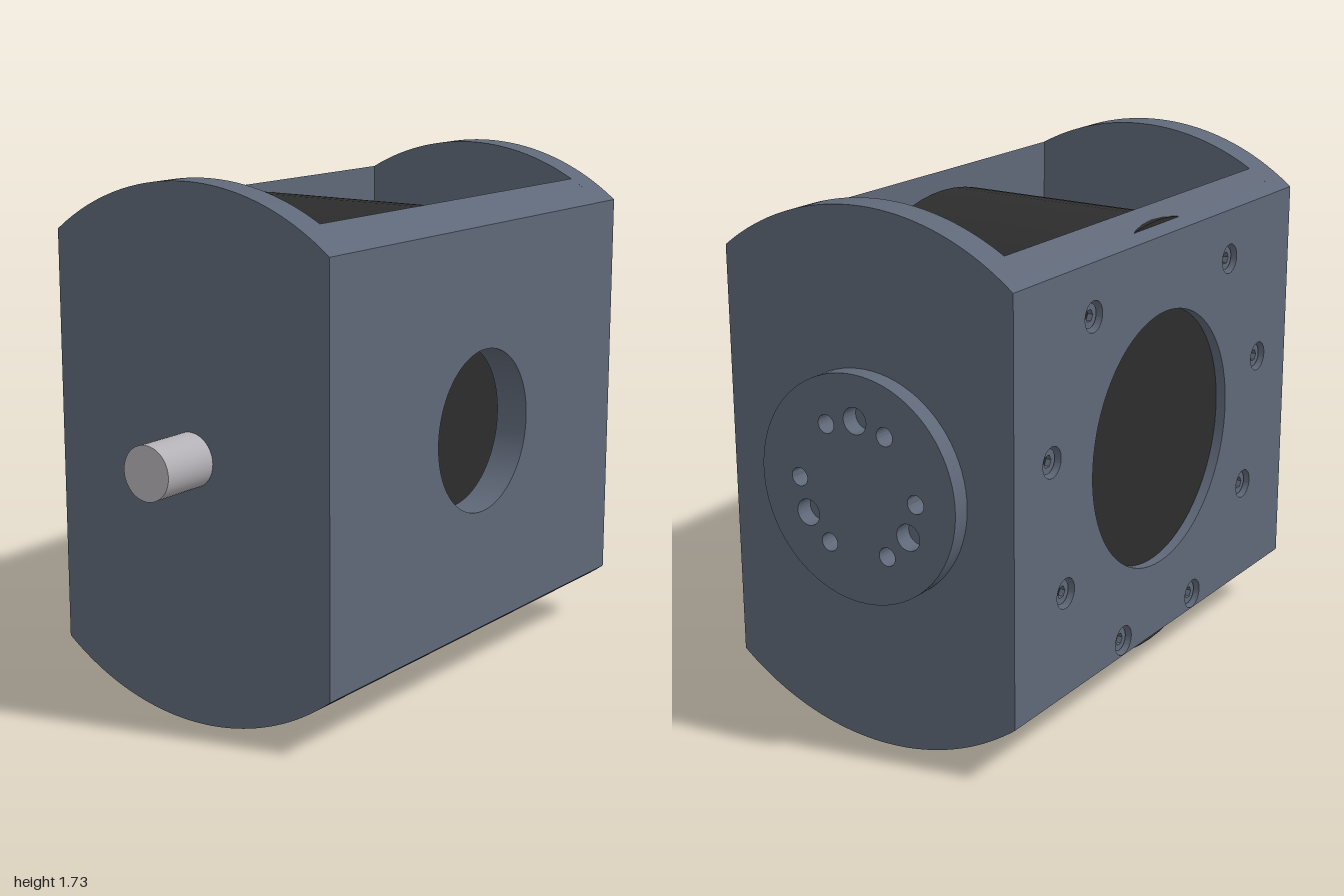
import * as THREE from 'three';
import { toCreasedNormals } from 'three/addons/utils/BufferGeometryUtils.js';

const R = 0.867;            // radius of the rounded ends
const HZ = 0.535;           // half depth of the housing
const HY = Math.sqrt(R * R - HZ * HZ); // where flat faces meet the round ends
const X0 = -0.79, X1 = -0.68, X2 = 0.83, X3 = 0.94; // side plate faces
const CX = 0.077;           // axis of the drum

const steel = new THREE.MeshStandardMaterial({ color: 0x5f6878 });
steel.name = 'blueGreySteel';
const black = new THREE.MeshStandardMaterial({ color: 0x2d2d2d });
black.name = 'black';
const silver = new THREE.MeshStandardMaterial({ color: 0xb4b1b6 });
silver.name = 'silver';

export function createModel() {
  const model = new THREE.Group();
  const body = new THREE.Group();
  body.name = 'gearHousing';
  body.position.y = R;
  model.add(body);

  const add = (name, geometry, material) => {
    const mesh = new THREE.Mesh(geometry, material);
    mesh.name = name;
    body.add(mesh);
    return mesh;
  };
  const extrude = (shape, depth) => toCreasedNormals(
    new THREE.ExtrudeGeometry(shape, { depth, bevelEnabled: false, curveSegments: 40 }), 0.5);
  const extrudeZ = (shape, z0, z1) => extrude(shape, z1 - z0).translate(0, 0, z0);
  // shape x runs towards -z
  const extrudeX = (shape, x0, x1) => extrude(shape, x1 - x0).rotateY(Math.PI / 2).translate(x0, 0, 0);
  const hole = (shape, x, y, r) => shape.holes.push(new THREE.Path().absarc(x, y, r, 0, Math.PI * 2, true));
  const polarHoles = (shape, cx, degrees, ring, r) => degrees.forEach((d) => {
    const a = THREE.MathUtils.degToRad(d);
    hole(shape, cx + ring * Math.cos(a), ring * Math.sin(a), r);
  });

  // Side plates: flat front and back, round top and bottom
  const plateShape = () => {
    const a = Math.atan2(HY, HZ);
    const s = new THREE.Shape();
    s.moveTo(HZ, -HY);
    s.lineTo(HZ, HY);
    s.absarc(0, 0, R, a, Math.PI - a, false);
    s.lineTo(-HZ, -HY);
    s.absarc(0, 0, R, Math.PI + a, 2 * Math.PI - a, false);
    return s;
  };
  const boltAngles = [0, 60, 120, 180, 240, 300];
  const leftPlate = plateShape();
  polarHoles(leftPlate, 0, boltAngles, 0.222, 0.03);
  add('leftSidePlate', extrudeX(leftPlate, X2, X3), steel);
  add('rightSidePlate', extrudeX(plateShape(), X0, X1), steel);

  // Output flange with bolt and pin holes
  const flange = new THREE.Shape().absarc(0, 0, 0.368, 0, Math.PI * 2, false);
  polarHoles(flange, 0, boltAngles, 0.222, 0.03);
  polarHoles(flange, 0, [90, 210, 330], 0.222, 0.043);
  add('outputFlange', extrudeX(flange, X3, 1), steel);

  // Front and back panels
  const panelShape = () => new THREE.Shape([
    new THREE.Vector2(X1, -HY), new THREE.Vector2(X2, -HY),
    new THREE.Vector2(X2, HY), new THREE.Vector2(X1, HY)]);
  const front = panelShape();
  hole(front, CX, 0, 0.275);
  add('frontPanel', extrudeZ(front, 0.42, HZ), steel);

  const screwAngles = [-70, -30, 10, 50, 130, 170, 210, 250];
  const back = panelShape();
  hole(back, CX, 0, 0.43);
  polarHoles(back, CX, screwAngles, 0.67, 0.05);
  add('backPanel', extrudeZ(back, -HZ, -0.43), steel);

  // Curved edges of the panels, following the round ends
  for (const [side, zi] of [[1, 0.42], [-1, 0.43]]) {
    for (const up of [1, -1]) {
      const a0 = Math.atan2(HY, HZ), a1 = Math.acos(zi / R);
      const pts = [new THREE.Vector2(-side * zi, up * HY)];
      for (let i = 0; i <= 6; i++) {
        const a = a0 + (a1 - a0) * i / 6;
        pts.push(new THREE.Vector2(-side * R * Math.cos(a), up * R * Math.sin(a)));
      }
      add('panelEdge', extrudeX(new THREE.Shape(pts), X1, X2), steel);
    }
  }

  // Motor drum, seated in the back panel
  const drum = add('motorDrum', new THREE.CylinderGeometry(0.723, 0.723, 0.83, 72).rotateX(Math.PI / 2), black);
  drum.position.set(CX, 0, -0.085);

  // Recessed socket screws around the back opening
  const head = new THREE.Shape().absarc(0, 0, 0.04, 0, Math.PI * 2, false);
  const socket = new THREE.Path();
  for (let i = 0; i < 6; i++) {
    const a = -i * Math.PI / 3;
    socket[i ? 'lineTo' : 'moveTo'](0.021 * Math.cos(a), 0.021 * Math.sin(a));
  }
  socket.closePath();
  head.holes.push(socket);
  const headGeometry = extrudeZ(head, -0.518, -0.499);
  for (const d of screwAngles) {
    const a = THREE.MathUtils.degToRad(d);
    add('backScrew', headGeometry, steel).position.set(CX + 0.67 * Math.cos(a), 0.67 * Math.sin(a), 0);
  }

  // Input shaft
  const shaft = add('inputShaft', new THREE.CylinderGeometry(0.089, 0.089, 0.22, 40).rotateZ(Math.PI / 2), silver);
  shaft.position.x = -0.89;

  return model;
}
